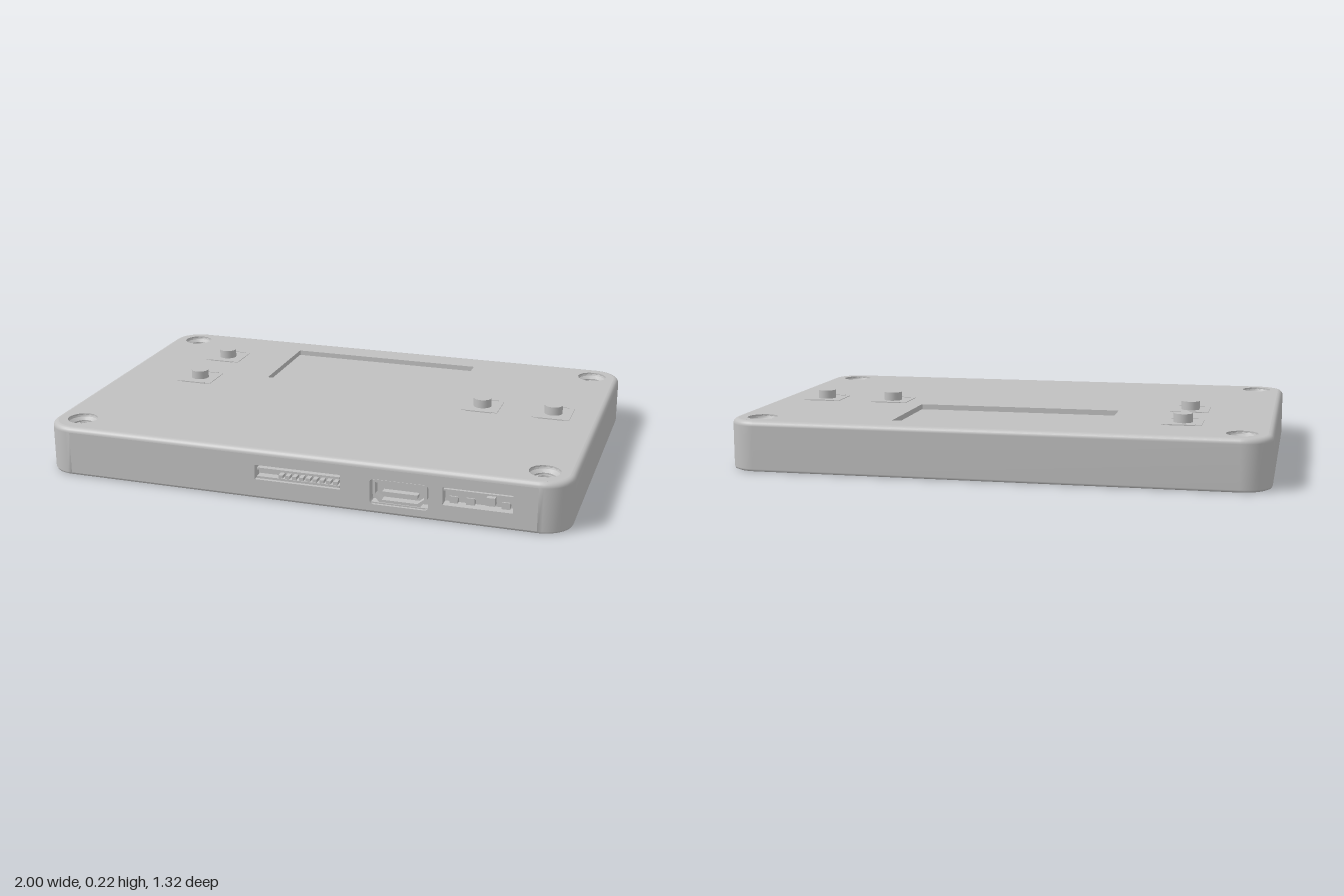
import * as THREE from 'three';
import { toCreasedNormals } from 'three/addons/utils/BufferGeometryUtils.js';

const HX = 1, HZ = 0.662, R = 0.11, TOP = 0.19;
const grey = new THREE.MeshStandardMaterial({ color: 0xc0c0c0 });
grey.name = 'grey plastic';

export function createModel() {
  const model = new THREE.Group();
  model.name = 'handheldCase';

  const add = (name, geometry, x = 0, y = 0, z = 0) => {
    const mesh = new THREE.Mesh(geometry, grey);
    mesh.name = name;
    mesh.position.set(x, y, z);
    model.add(mesh);
    return mesh;
  };
  const box = (name, w, h, d, x, y, z) => add(name, new THREE.BoxGeometry(w, h, d), x, y, z);

  // Rounded rectangle outline, used for panels and openings
  const roundRect = (Type, cx, cy, w, h, r) => {
    const s = new Type(), a = w / 2 - r, b = h / 2 - r;
    s.absarc(cx + a, cy + b, r, 0, Math.PI / 2);
    s.absarc(cx - a, cy + b, r, Math.PI / 2, Math.PI);
    s.absarc(cx - a, cy - b, r, Math.PI, Math.PI * 1.5);
    s.absarc(cx + a, cy - b, r, Math.PI * 1.5, Math.PI * 2);
    s.closePath();
    return s;
  };
  const circle = (x, y, r) => new THREE.Path().absarc(x, y, r, 0, Math.PI * 2);
  const extrude = (shape, depth, curveSegments = 8) =>
    new THREE.ExtrudeGeometry(shape, { depth, curveSegments, bevelEnabled: false });
  const lyingPlate = (name, shape, depth, y) =>
    add(name, extrude(shape, depth).rotateX(-Math.PI / 2), 0, y, 0);

  // Side wall with rounded top edge; the flat front stretch is left for the port panel
  const profile = [[0.01, 0], [0.003, 0.003], [0, 0.01], [0, 0.17]];
  for (let k = 1; k <= 5; k++) {
    const a = (k / 5) * Math.PI / 2;
    profile.push([0.02 * (1 - Math.cos(a)), 0.17 + 0.02 * Math.sin(a)]);
  }
  const positions = [], index = [], steps = 10, ring = 4 * (steps + 1);
  const corners = [[-1, 1], [-1, -1], [1, -1], [1, 1]];
  profile.forEach(([inset, y], j) => {
    corners.forEach(([sx, sz], c) => {
      for (let k = 0; k <= steps; k++) {
        const a = (c + 1 + k / steps) * Math.PI / 2;
        positions.push(sx * (HX - R) + (R - inset) * Math.cos(a), y, sz * (HZ - R) + (R - inset) * Math.sin(a));
      }
    });
    if (j === profile.length - 1) return;
    for (let i = 0; i < ring; i++) {
      if (j === 2 && i === ring - 1) continue;
      const n = (i + 1) % ring, a = j * ring + i, b = j * ring + n;
      index.push(a, a + ring, b, b, a + ring, b + ring);
    }
  });
  const wall = new THREE.BufferGeometry();
  wall.setAttribute('position', new THREE.Float32BufferAttribute(positions, 3));
  wall.setIndex(index);
  wall.computeVertexNormals();
  add('sideWall', wall);

  // Top panel with screen, button and screw openings
  const screws = [[-0.89, -0.555], [0.89, -0.555], [-0.89, 0.55], [0.89, 0.55]];
  const buttons = [[-0.665, -0.36], [-0.665, -0.055], [0.535, -0.055], [0.815, -0.055]];
  const top = roundRect(THREE.Shape, 0, 0, 2 * (HX - 0.02), 2 * (HZ - 0.02), R - 0.02);
  top.holes.push(roundRect(THREE.Path, -0.003, 0.34, 0.787, 0.4, 0.004));
  screws.forEach(([x, z]) => top.holes.push(circle(x, -z, 0.057)));
  lyingPlate('topPanel', top, 0.03, TOP - 0.03);
  box('screen', 0.82, 0.02, 0.43, -0.003, 0.16, -0.34);

  // Countersunk screw wells
  const well = toCreasedNormals(new THREE.LatheGeometry(
    [[0.058, 0.188], [0.054, 0.178], [0.04, 0.168], [0.04, 0.162], [0.032, 0.162], [0.03, 0.14], [0, 0.14]]
      .map(([r, y]) => new THREE.Vector2(r, y)), 32), 0.5);
  screws.forEach(([x, z]) => add('screwWell', well, x, 0, z));

  // Push buttons with square bodies and thin side tabs
  const cap = new THREE.CylinderGeometry(0.035, 0.035, 0.04, 24);
  buttons.forEach(([x, z]) => {
    box('buttonBody', 0.145, 0.02, 0.14, x, 0.182, z);
    add('buttonCap', cap, x, 0.205, z);
    for (const s of [-1, 1]) box('buttonTab', 0.1, 0.012, 0.008, x, 0.188, z + s * 0.072);
  });

  // Front panel with three port openings
  const front = new THREE.Shape();
  front.moveTo(-0.89, 0.01).lineTo(0.89, 0.01).lineTo(0.89, 0.17).lineTo(-0.89, 0.17).closePath();
  front.holes.push(
    roundRect(THREE.Path, 0.0175, 0.103, 0.325, 0.056, 0.002),
    roundRect(THREE.Path, 0.397, 0.083, 0.215, 0.096, 0.015),
    roundRect(THREE.Path, 0.68, 0.098, 0.25, 0.066, 0.002));
  add('portPanel', extrude(front, 0.045), 0, 0, HZ - 0.045);
  box('portBacking', 1.1, 0.14, 0.02, 0.32, 0.09, HZ - 0.053);

  // Card slot: shell roof, floor and a row of contacts
  box('cardSlotRoof', 0.315, 0.008, 0.035, 0.0175, 0.113, 0.633);
  box('cardSlotFloor', 0.315, 0.008, 0.035, 0.0175, 0.08, 0.633);
  for (let i = 0; i < 9; i++) box('cardContact', 0.016, 0.012, 0.03, -0.05 + i * 0.026, 0.09, 0.633);

  // Video socket: flanged shell with chamfered lower corners and a tongue
  const shell = (Type, g) => {
    const s = new Type(), w = 0.1 - g, t = 0.042 - g;
    s.moveTo(-w, t).lineTo(-w, -0.012).lineTo(-w + 0.025, -t).lineTo(w - 0.025, -t).lineTo(w, -0.012).lineTo(w, t).closePath();
    return s;
  };
  const socket = shell(THREE.Shape, 0);
  socket.holes.push(shell(THREE.Path, 0.01));
  add('videoSocketShell', extrude(socket, 0.035), 0.397, 0.083, 0.615);
  box('videoSocketTongue', 0.13, 0.012, 0.03, 0.397, 0.075, 0.63);

  // Power switch with a sliding lever
  box('switchBody', 0.24, 0.03, 0.02, 0.68, 0.102, 0.625);
  box('switchRail', 0.25, 0.006, 0.03, 0.68, 0.117, 0.632);
  box('switchLever', 0.03, 0.03, 0.035, 0.725, 0.095, 0.64);
  for (const x of [0.59, 0.65, 0.775]) box('switchFoot', 0.03, 0.025, 0.025, x, 0.08, 0.628);

  // Bottom panel with speaker grille and two windows
  const base = roundRect(THREE.Shape, 0, 0, 2 * (HX - 0.01), 2 * (HZ - 0.01), R - 0.01);
  base.holes.push(roundRect(THREE.Path, -0.466, -0.32, 0.125, 0.125, 0.002));
  base.holes.push(roundRect(THREE.Path, -0.86, -0.33, 0.06, 0.06, 0.002));
  for (let row = 0; row < 5; row++) {
    for (let col = 0; col < 8; col++) {
      base.holes.push(circle(-0.8 + col * 0.046 + (row % 2) * 0.023, 0.61 - row * 0.045, 0.01));
    }
  }
  lyingPlate('bottomPanel', base, 0.04, 0);
  box('grilleBacking', 0.45, 0.01, 0.27, -0.62, 0.045, -0.52);
  box('windowBacking', 0.16, 0.01, 0.16, -0.466, 0.045, 0.32);
  box('smallWindowBacking', 0.09, 0.01, 0.09, -0.86, 0.045, 0.33);

  // Pin rows inside the larger window
  for (let i = 0; i < 5; i++) {
    for (let k = 0; k < 5; k++) box('pin', 0.01, 0.03, 0.01, -0.51 + i * 0.022, 0.03, 0.276 + k * 0.022);
  }
  return model;
}
